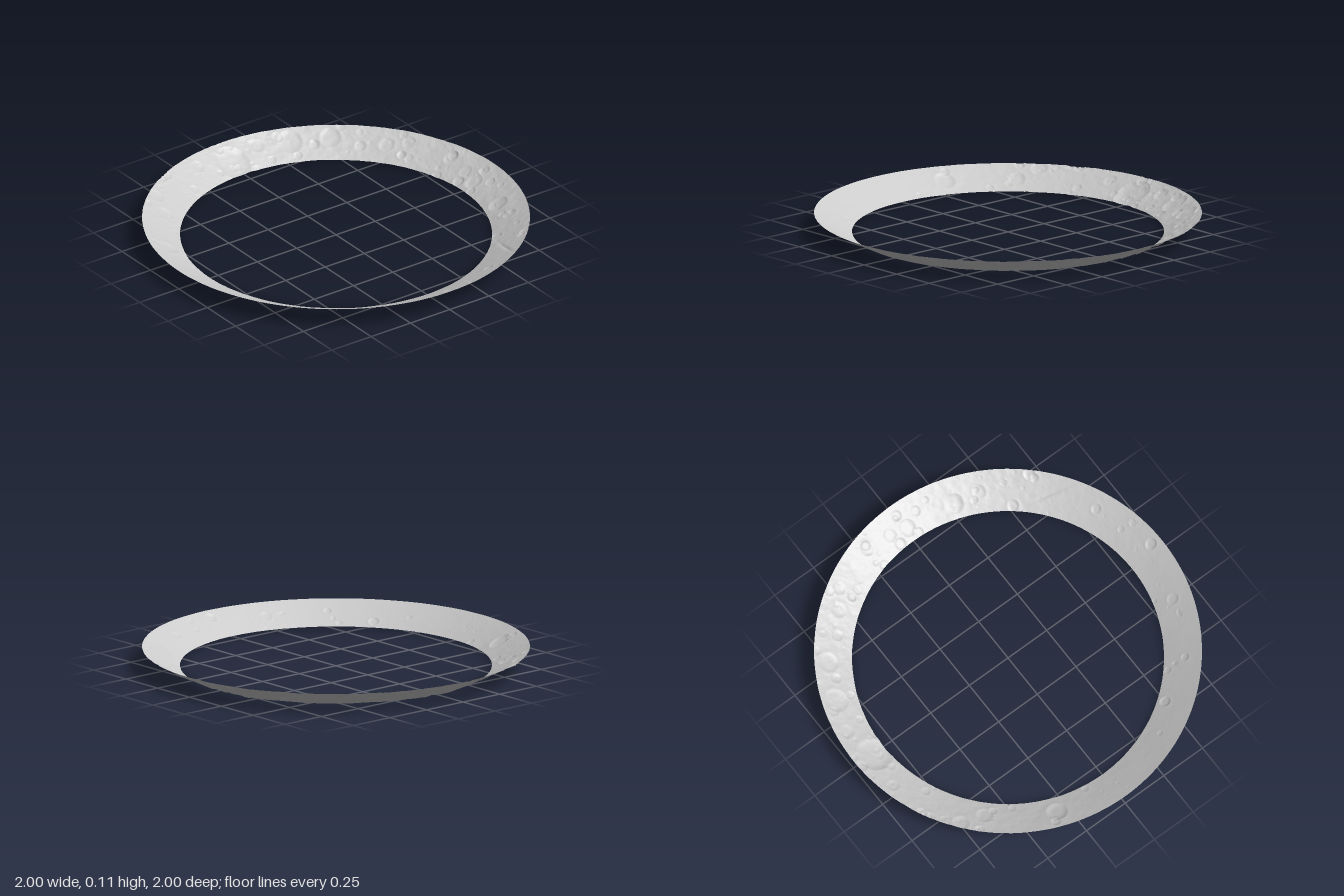
import * as THREE from 'three';

// Repeatable random numbers
function seeded(seed) {
  return () => {
    seed = (seed * 1664525 + 1013904223) % 4294967296;
    return seed / 4294967296;
  };
}

const INNER = 0.804, OUTER = 1.0, LOW = 0.007, HIGH = 0.107;
const AROUND = 1000, ACROSS = 64;

// Height of the plain cone at a given radius
const coneY = (r) => LOW + (HIGH - LOW) * (r - INNER) / (OUTER - INNER);

// Large craters: x, z, radius
const LARGE = [
  [-0.88, 0.02, 0.095], [-0.86, -0.33, 0.065], [-0.77, -0.52, 0.055], [-0.55, -0.72, 0.04],
  [-0.63, 0.63, 0.045], [-0.76, 0.6, 0.045], [-0.32, 0.84, 0.055], [0.28, -0.83, 0.05],
  [-0.23, -0.9, 0.04], [-0.09, -0.89, 0.035], [0.01, -0.87, 0.045], [-0.48, -0.81, 0.035],
  [-0.92, -0.16, 0.04], [0.42, -0.8, 0.035], [-0.91, 0.22, 0.035], [0.86, 0.27, 0.03],
];

function makeCraters() {
  const rand = seeded(17);
  const craters = LARGE.map(([x, z, size]) => ({ x, z, size, depth: size * 0.075 }));
  // Small craters, crowded towards the back and the right-hand side
  for (let i = 0; i < 260; i++) {
    const angle = rand() * Math.PI * 2;
    const r = INNER + rand() * (OUTER - INNER);
    const x = r * Math.cos(angle), z = r * Math.sin(angle);
    const rough = 0.5 - 0.3 * (x + z);
    const size = 0.006 + 0.026 * Math.pow(rand(), 3);
    if (rand() < rough + 0.2) craters.push({ x, z, size, depth: size * 0.11 });
  }
  return craters;
}

// Bowl with a raised rim that fades outwards
function craterHeight(d, depth) {
  if (d >= 1.7) return 0;
  if (d < 1) return depth * (1.35 * Math.min(1, Math.max(0, (d - 0.45) / 0.55)) ** 2 - 1);
  return depth * 0.35 * ((1.7 - d) / 0.7) ** 2;
}

// Smooth value noise in the horizontal plane
function noise(x, z) {
  const hash = (a, b) => {
    const s = Math.sin(a * 127.1 + b * 311.7) * 43758.5453;
    return s - Math.floor(s);
  };
  const ix = Math.floor(x), iz = Math.floor(z);
  const fx = x - ix, fz = z - iz;
  const u = fx * fx * (3 - 2 * fx), v = fz * fz * (3 - 2 * fz);
  const mix = THREE.MathUtils.lerp;
  return mix(mix(hash(ix, iz), hash(ix + 1, iz), u),
    mix(hash(ix, iz + 1), hash(ix + 1, iz + 1), u), v) - 0.5;
}

function relief(x, z, craters) {
  const rough = 0.55 - 0.3 * (x + z);
  let h = rough * (0.004 * noise(x * 14, z * 14) + 0.0025 * noise(x * 34, z * 34)
    + 0.0011 * noise(x * 80, z * 80));
  for (const c of craters) {
    const d = Math.hypot(x - c.x, z - c.z) / c.size;
    if (d < 1.7) h += craterHeight(d, c.depth);
  }
  // Shallow groove crossing the band at the back left
  const along = x * 0.95 + z * 0.3 - 0.495, across = -x * 0.3 + z * 0.95 + 0.75;
  h -= 0.004 * Math.exp(-((across / 0.008) ** 2) - ((along / 0.1) ** 2));
  return h;
}

export function createModel() {
  const group = new THREE.Group();
  group.name = 'crateredRing';
  const craters = makeCraters();

  // Slope normal, pointing up and towards the axis
  const slope = Math.hypot(OUTER - INNER, HIGH - LOW);
  const nr = -(HIGH - LOW) / slope, ny = (OUTER - INNER) / slope;

  const positions = [], indices = [];
  for (let i = 0; i < AROUND; i++) {
    const angle = (i / AROUND) * Math.PI * 2;
    const cos = Math.cos(angle), sin = Math.sin(angle);
    for (let j = 0; j <= ACROSS; j++) {
      const r = INNER + (OUTER - INNER) * j / ACROSS;
      const h = relief(r * cos, r * sin, craters);
      const rr = Math.min(OUTER, r + nr * h);
      positions.push(rr * cos, Math.max(0, coneY(r) + ny * h), rr * sin);
      if (j === ACROSS) continue;
      const a = i * (ACROSS + 1) + j;
      const b = ((i + 1) % AROUND) * (ACROSS + 1) + j;
      indices.push(a, a + 1, b, b, a + 1, b + 1);
    }
  }
  // Corner order faces the upper, inner side of the cone
  for (let k = 0; k < indices.length; k += 3) {
    [indices[k + 1], indices[k + 2]] = [indices[k + 2], indices[k + 1]];
  }

  const geometry = new THREE.BufferGeometry();
  geometry.setAttribute('position', new THREE.Float32BufferAttribute(positions, 3));
  geometry.setIndex(indices);
  geometry.computeVertexNormals();

  const material = new THREE.MeshStandardMaterial({ color: 0xcccccc, side: THREE.DoubleSide });
  const band = new THREE.Mesh(geometry, material);
  band.name = 'crateredBand';
  group.add(band);
  return group;
}
